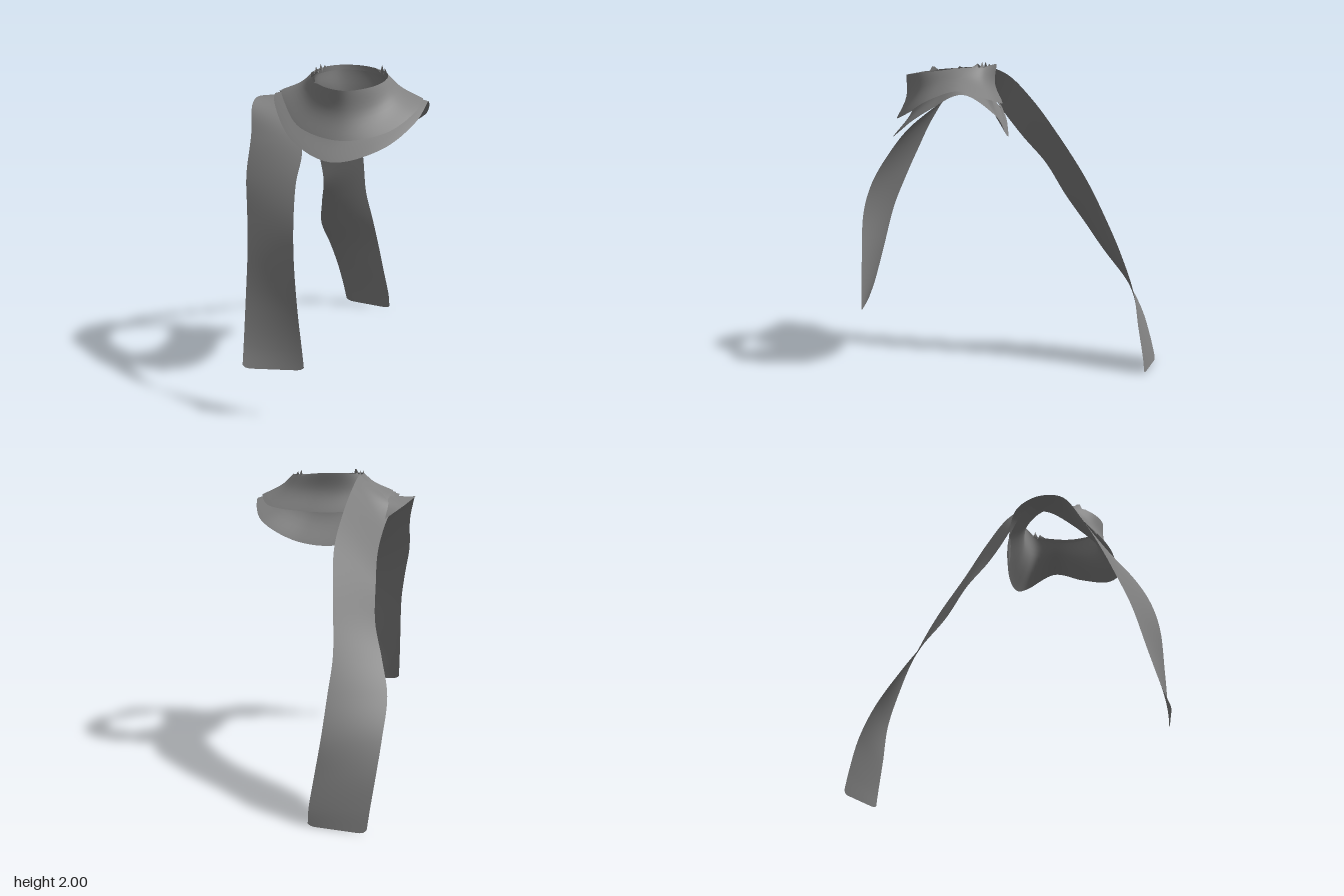
import * as THREE from 'three';

const material = new THREE.MeshStandardMaterial({ color: 0x808080, side: THREE.DoubleSide });
const vec = (p) => new THREE.Vector3(...p);

// Cloth sheet lofted across matching edge curves; adjust(p, i, v) may move a point.
function cloth(name, edges, { closed = false, steps = 88, cols = 14, round = 0, adjust } = {}) {
  const curves = edges.map((e) => new THREE.CatmullRomCurve3(e.map(vec), closed, 'centripetal'));
  const pos = [], index = [];
  const rows = closed ? steps : steps + 1;
  for (let i = 0; i < rows; i++) {
    for (let j = 0; j <= cols; j++) {
      const v = 0.5 - 0.5 * Math.cos((Math.PI * j) / cols);
      // Shorten the sheet near its sides so the loose end has rounded corners
      const t = (i / steps) * (1 - round * Math.pow(Math.abs(2 * v - 1), 14));
      const pts = curves.map((c) => c.getPoint(t));
      const p = pts.length === 2
        ? pts[0].lerp(pts[1], v)
        : new THREE.CatmullRomCurve3(pts).getPoint(v);
      if (adjust) adjust(p, i, v);
      pos.push(p.x, p.y, p.z);
    }
  }
  const w = cols + 1;
  for (let i = 0; i < steps; i++) {
    const a = i * w, b = ((i + 1) % rows) * w;
    for (let j = 0; j < cols; j++) {
      index.push(a + j, b + j, a + j + 1, b + j, b + j + 1, a + j + 1);
    }
  }
  const geo = new THREE.BufferGeometry();
  geo.setAttribute('position', new THREE.Float32BufferAttribute(pos, 3));
  geo.setIndex(index);
  geo.computeVertexNormals();
  const mesh = new THREE.Mesh(geo, material);
  mesh.name = name;
  return mesh;
}

// Middle line of a neck wrap: halfway from rim to hem, pulled towards the neck
function waist(rim, hem, pull) {
  const centre = vec([0.05, 0, 0.35]);
  return rim.map((r, i) => {
    const m = vec(r).lerp(vec(hem[i]), 0.5);
    const d = new THREE.Vector3(m.x - centre.x, 0, m.z - centre.z).normalize();
    return m.addScaledVector(d, -pull).toArray();
  });
}

export function createModel() {
  const group = new THREE.Group();
  group.name = 'scarf';

  // Neck wraps, listed from the left side round the back, right and front
  const rim = [
    [0.28, 1.955, 0.3], [0.23, 1.965, 0.16], [0.1, 1.98, 0.09], [-0.05, 1.98, 0.08],
    [-0.15, 1.97, 0.15], [-0.18, 1.96, 0.3], [-0.14, 1.945, 0.48], [-0.05, 1.925, 0.6],
    [0.07, 1.915, 0.645], [0.2, 1.925, 0.57], [0.27, 1.94, 0.43],
  ];
  const outerHem = [
    [0.49, 1.82, 0.3], [0.44, 1.77, 0.12], [0.2, 1.74, 0.05], [-0.05, 1.74, 0.04],
    [-0.28, 1.78, 0.08], [-0.37, 1.85, 0.25], [-0.325, 1.8, 0.42], [-0.2, 1.69, 0.61],
    [0.05, 1.64, 0.71], [0.3, 1.675, 0.63], [0.45, 1.765, 0.48],
  ];
  const innerHem = [
    [0.52, 1.8, 0.27], [0.49, 1.68, 0.08], [0.25, 1.55, 0.015], [-0.05, 1.54, 0],
    [-0.27, 1.68, 0.04], [-0.41, 1.825, 0.23], [-0.37, 1.76, 0.45], [-0.235, 1.61, 0.64],
    [0, 1.52, 0.74], [0.28, 1.585, 0.66], [0.46, 1.71, 0.47],
  ];
  const innerRim = rim.map(([x, y, z]) =>
    [0.05 + (x - 0.05) * 0.96, y - 0.03, 0.35 + (z - 0.35) * (z > 0.35 ? 0.86 : 0.97)]);

  // Torn points and notches along the rim, as height offsets by row
  const tears = {
    5: 0.01, 6: 0.02, 7: -0.025, 8: 0.03, 9: -0.02, 10: -0.01,
    30: 0.01, 31: -0.03, 32: 0.025, 33: -0.03, 34: -0.015, 35: 0.02, 36: -0.025,
    41: 0.01, 42: -0.02, 48: 0.02, 49: 0.025, 50: -0.01,
  };
  const tear = (p, i, v) => {
    if (v === 0) p.y += tears[i] ?? 0;
  };
  group.add(cloth('outerNeckWrap', [rim, waist(rim, outerHem, 0.03), outerHem],
    { closed: true, adjust: tear }));
  group.add(cloth('innerNeckWrap', [innerRim, waist(innerRim, innerHem, 0.065), innerHem],
    { closed: true }));

  // Tail that comes round the right shoulder and hangs in front
  group.add(cloth('frontTail', [
    [
      [-0.1, 1.56, 0.01], [-0.3, 1.69, 0.04], [-0.43, 1.77, 0.1], [-0.51, 1.805, 0.24],
      [-0.525, 1.78, 0.4], [-0.51, 1.62, 0.52], [-0.52, 1.4, 0.63], [-0.5, 1.2, 0.72],
      [-0.485, 1, 0.8], [-0.487, 0.7, 0.88], [-0.49, 0.45, 0.95], [-0.49, 0.33, 0.995],
    ],
    [
      [-0.1, 1.82, 0.09], [-0.19, 1.84, 0.13], [-0.26, 1.85, 0.19], [-0.29, 1.82, 0.3],
      [-0.26, 1.72, 0.46], [-0.18, 1.56, 0.66], [-0.195, 1.4, 0.79], [-0.19, 1.2, 0.91],
      [-0.18, 1, 0.97], [-0.16, 0.7, 0.985], [-0.135, 0.45, 0.99], [-0.125, 0.335, 0.99],
    ],
  ], { round: 0.015 }));

  // Tail that falls away behind and twists near its end; it hugs the wrap at the neck
  const sag = (p, i, v) => {
    const s = 4 * v * (1 - v) * Math.max(0, 1 - i / 16);
    p.x += 0.03 * s;
    p.y -= 0.012 * s;
  };
  group.add(cloth('backTail', [
    [
      [-0.39, 1.84, 0.25], [-0.36, 1.77, 0.11], [-0.3, 1.65, 0.02], [-0.25, 1.5, -0.1],
      [-0.23, 1.33, -0.25], [-0.22, 1.12, -0.38], [-0.255, 0.92, -0.52], [-0.28, 0.73, -0.65],
      [-0.24, 0.52, -0.81], [-0.2, 0.33, -0.91], [-0.165, 0.15, -0.965], [-0.14, 0, -0.999],
    ],
    [
      [-0.18, 1.955, 0.25], [-0.14, 1.96, 0.12], [-0.1, 1.91, 0], [-0.03, 1.76, -0.15],
      [0.03, 1.56, -0.3], [0.04, 1.25, -0.5], [0.045, 0.97, -0.64], [0.08, 0.76, -0.73],
      [0.12, 0.52, -0.81], [0.16, 0.3, -0.84], [0.195, 0.1, -0.87], [0.2, 0, -0.88],
    ],
  ], { round: 0.015, adjust: sag }));

  return group;
}
